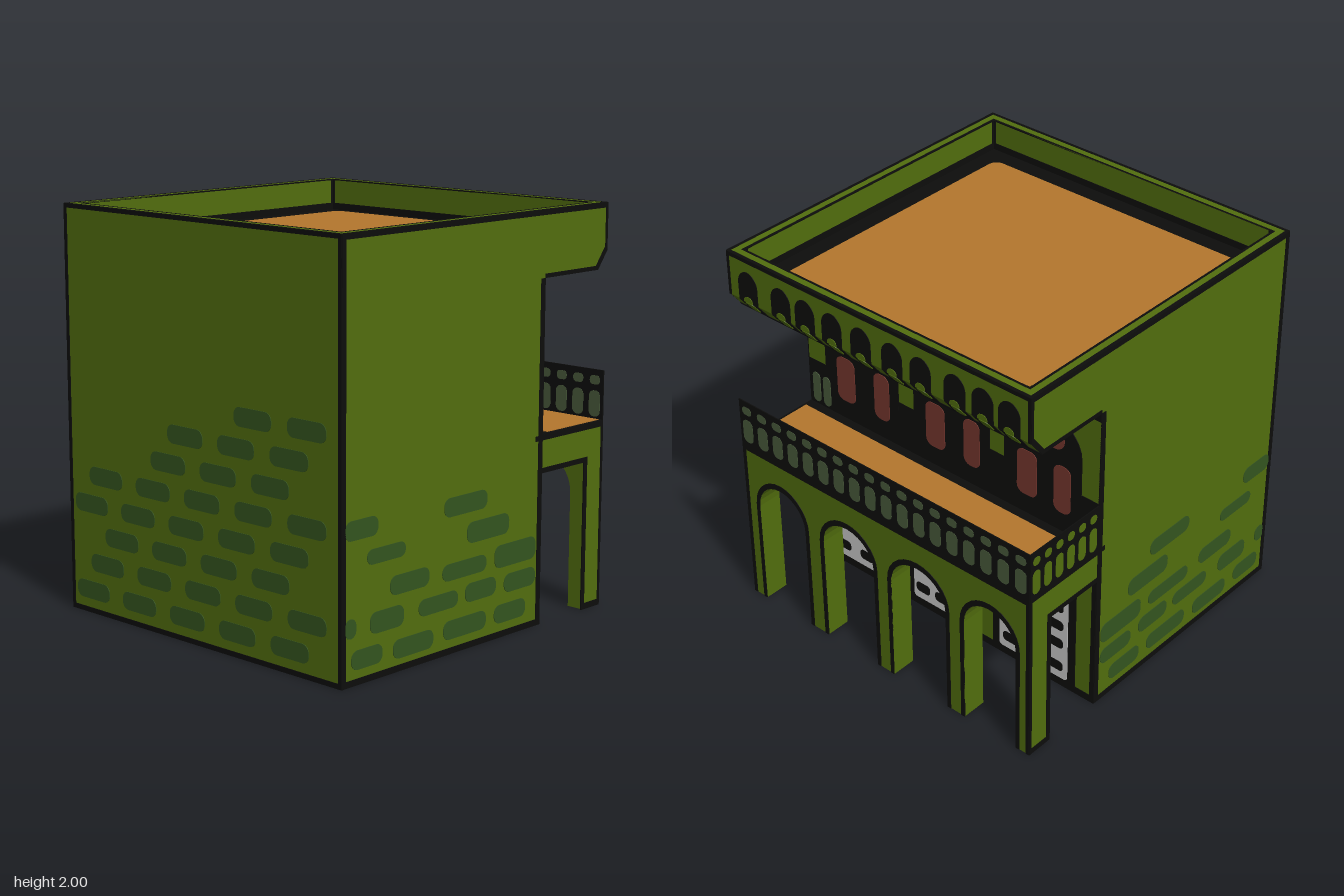
import * as THREE from 'three';

const paint = (name, color) => {
  const m = new THREE.MeshStandardMaterial({ color, side: THREE.DoubleSide });
  m.name = name;
  return m;
};

const V = (x, y) => new THREE.Vector2(x, y);
const rect = (x0, y0, x1, y1) => new THREE.Shape([V(x0, y0), V(x1, y0), V(x1, y1), V(x0, y1)]);

// rounded rectangle spanning x0..x1, y0..y1
function blob(x0, y0, x1, y1, r = 1) {
  r = Math.min(r, (x1 - x0) / 2, (y1 - y0) / 2) * 0.98;
  const s = new THREE.Shape();
  s.absarc(x1 - r, y0 + r, r, -Math.PI / 2, 0);
  s.absarc(x1 - r, y1 - r, r, 0, Math.PI / 2);
  s.absarc(x0 + r, y1 - r, r, Math.PI / 2, Math.PI);
  s.absarc(x0 + r, y0 + r, r, Math.PI, Math.PI * 1.5);
  return s;
}

// points up, over and down an arch from left to right
function archPts(x0, x1, y0, spring, top) {
  const pts = [V(x0, y0)], n = 14;
  for (let i = 0; i <= n; i++) {
    const a = Math.PI * (1 - i / n);
    pts.push(V((x0 + x1) / 2 + Math.cos(a) * (x1 - x0) / 2, spring + Math.sin(a) * (top - spring)));
  }
  pts.push(V(x1, y0));
  return pts;
}
const arch = (...a) => new THREE.Shape(archPts(...a));

function frame(outer, inner) {
  const s = rect(-outer, -outer, outer, outer);
  s.holes.push(rect(-inner, -inner, inner, inner));
  return s;
}

export function createModel() {
  const root = new THREE.Group();
  root.name = 'arcadeHouse';
  const olive = paint('oliveWall', 0x526e0e), brick = paint('darkGreenBrick', 0x34551f);
  const black = paint('blackLine', 0x0d0d0c), tan = paint('tanFloor', 0xb4772d);
  const red = paint('redPane', 0x78372f), white = paint('whiteDoor', 0xcccccc);
  const sage = paint('sageBaluster', 0x4a5c3c);

  const side = (name, x, y, z, ry = 0, rx = 0) => {
    const g = new THREE.Group();
    g.name = name;
    g.position.set(x, y, z);
    g.rotation.set(rx, ry, 0, 'YXZ');
    root.add(g);
    return g;
  };
  const flat = (g, name, mat, shapes) => {
    const m = new THREE.Mesh(new THREE.ShapeGeometry(shapes), mat);
    m.name = name;
    g.add(m);
    return m;
  };
  // thin painted plate centred on the wall plane, raised by its layer
  const plate = (g, name, mat, shapes, layer = 0) => {
    const m = new THREE.Mesh(
      new THREE.ExtrudeGeometry(shapes, { depth: 0.006, bevelEnabled: false, curveSegments: 5 }), mat);
    m.name = name;
    m.position.z = -0.003 + layer * 0.003;
    g.add(m);
    return m;
  };
  const H = Math.PI / 2, E = 0.92;

  // front and back walls with overhanging cornice
  const profile = new THREE.Shape([V(-E, 0), V(0.45, 0), V(0.45, 1.68), V(0.85, 1.68), V(E, 1.77), V(E, 2), V(-E, 2)]);
  const bricks = [
    [-0.9, 0.66, -0.69, 0.75], [-0.25, 0.65, 0.05, 0.74], [-0.76, 0.53, -0.51, 0.6], [-0.09, 0.5, 0.21, 0.6],
    [-0.61, 0.36, -0.35, 0.45], [-0.26, 0.35, 0.05, 0.43], [0.11, 0.34, 0.41, 0.45], [-0.9, 0.22, -0.83, 0.31],
    [-0.74, 0.21, -0.52, 0.31], [-0.42, 0.22, -0.15, 0.3], [-0.1, 0.22, 0.12, 0.31], [0.18, 0.21, 0.41, 0.3],
    [-0.86, 0.07, -0.66, 0.16], [-0.59, 0.06, -0.32, 0.15], [-0.25, 0.07, 0.05, 0.16], [0.11, 0.07, 0.34, 0.16]];
  for (const [name, z] of [['frontWall', E], ['backWall', -E]]) {
    const g = side(name, 0, 0, z);
    flat(g, name + 'Panel', olive, profile);
    plate(g, 'bricks', brick, bricks.map(b => blob(...b, 0.04)));
    plate(g, 'edgeLines', black, [
      rect(-E, 0.03, -0.895, 1.975), rect(-E, 1.975, E, 2), rect(-E, 0, 0.45, 0.03), rect(0.42, 0.03, 0.45, 1.68),
      rect(0.45, 1.68, 0.85, 1.7), rect(0.905, 1.77, E, 1.975),
      new THREE.Shape([V(0.85, 1.68), V(E, 1.77), V(0.905, 1.79), V(0.835, 1.7)])]);
  }

  // left wall with brick courses climbing towards the front
  const left = side('leftWall', -E, 0, 0, -H);
  flat(left, 'leftWallPanel', olive, rect(-E, 0, E, 2));
  const courses = [];
  for (let k = 0; k < 9; k++) {
    for (let i = 0; i < 6; i++) {
      const x = -0.88 + i * 0.34 + (k % 3) * 0.11, y = 0.07 + k * 0.145;
      if (x + 0.24 < 0.9 && y < Math.min(1.22, 0.6 + 0.5 * (x + E))) courses.push(blob(x, y, x + 0.24, y + 0.09, 0.04));
    }
  }
  plate(left, 'bricks', brick, courses);
  plate(left, 'edgeLines', black, [rect(-E, 0, -0.9, 2), rect(0.9, 0, E, 2), rect(-0.9, 1.98, 0.9, 2), rect(-0.9, 0, 0.9, 0.025)]);

  // recessed right wall: doors below, windows above
  const right = side('rightWall', 0.45, 0, 0, H);
  flat(right, 'rightWallPanel', olive, rect(-E, 0, E, 1.68));
  plate(right, 'darkBands', black, [rect(-E, 0, E, 0.04), rect(-E, 0.9, E, 1.19), rect(-E, 1.635, E, 1.68),
    rect(-E, 0.04, -0.895, 0.9), rect(0.895, 0.04, E, 0.9)]);
  for (const [a, b] of [[-0.81, -0.49], [-0.24, 0.14], [0.33, 0.76]]) {
    plate(right, 'doorFrame', black, rect(a - 0.045, 0.03, b + 0.045, 0.605), 0.3);
    plate(right, 'door', white, blob(a, 0.05, b, 0.57, 0.02), 1.3);
    const holes = [], n = Math.round((b - a) / 0.14);
    for (let c = 0; c < n; c++) for (const y of [0.12, 0.26, 0.37, 0.48]) {
      const x = a + (c + 0.5) * (b - a) / n;
      holes.push(blob(x - 0.045, y - 0.025, x + 0.045, y + 0.03, 0.02));
    }
    plate(right, 'doorOpenings', black, holes, 2.3);
  }
  for (const [a, b] of [[-0.8, -0.31], [-0.21, 0.27], [0.36, 0.82]]) {
    plate(right, 'windowFrame', black, arch(a, b, 1.1, 1.38, 1.57), 0.3);
    plate(right, 'windowPanes', red, [blob(a + 0.08, 1.38, b - 0.1, 1.49, 0.06),
      blob(a + 0.08, 1.04, a + 0.2, 1.29, 0.04), blob(b - 0.16, 1.04, b - 0.06, 1.3, 0.04)], 1.3);
  }
  plate(right, 'paintedBalusters', sage, [-0.87, -0.8].map(x => blob(x - 0.025, 0.95, x + 0.025, 1.12)), 1.3);

  // cornice: underside, chamfer and right face with small arches
  const niches = [-0.79, -0.575, -0.42, -0.25, -0.07, 0.12, 0.29, 0.49, 0.65, 0.8];
  const under = side('corniceUnderside', 0.65, 1.68, 0, 0, -H);
  flat(under, 'undersidePanel', olive, rect(-0.2, -E, 0.2, E));
  const chamfer = side('corniceChamfer', 0.85, 1.68, 0, H, Math.atan2(0.07, 0.09));
  flat(chamfer, 'chamferPanel', olive, rect(-E, 0, E, 0.114));
  plate(chamfer, 'nicheBases', black, [rect(-E, 0, E, 0.02), ...niches.map(x => rect(x - 0.06, 0.02, x + 0.06, 0.114))]);
  plate(chamfer, 'nicheHollows', olive, niches.map(x => blob(x - 0.03, 0.03, x + 0.03, 0.113, 0.02)), 1);
  const cornice = side('corniceFace', E, 0, 0, H);
  flat(cornice, 'cornicePanel', olive, rect(-E, 1.77, E, 2));
  plate(cornice, 'nicheArches', black, [rect(-E, 1.98, E, 2), rect(-E, 1.77, -0.905, 1.98), rect(0.905, 1.77, E, 1.98),
    ...niches.map(x => arch(x - 0.062, x + 0.062, 1.77, 1.86, 1.93))]);
  plate(cornice, 'nicheHollows', olive, niches.map(x => arch(x - 0.028, x + 0.028, 1.77, 1.78, 1.8)), 1);

  // roof rim, sunken floor and inner parapet walls
  const rim = side('roofRim', 0, 2, 0, 0, -H);
  flat(rim, 'rimTop', olive, frame(E, 0.86));
  plate(rim, 'rimLines', black, [frame(E, 0.905), frame(0.872, 0.86)]).position.z = -0.005;
  const roof = side('roofFloor', 0, 1.84, 0, 0, -H);
  flat(roof, 'roofBorder', black, rect(-0.86, -0.86, 0.86, 0.86));
  plate(roof, 'roofDeck', tan, blob(-0.76, -0.76, 0.785, 0.75, 0.05), 1);
  for (let i = 0; i < 4; i++) {
    const a = i * H, g = side('parapetInside', -0.86 * Math.sin(a), 0, -0.86 * Math.cos(a), a);
    flat(g, 'parapetPanel', olive, rect(-0.86, 1.84, 0.86, 2));
    plate(g, 'parapetLines', black, [rect(-0.86, 1.84, 0.86, 1.875), rect(-0.86, 1.875, -0.845, 2), rect(0.845, 1.875, 0.86, 2)]);
  }

  // arcade wall cut by four arches
  const bays = [[-0.83, -0.51], [-0.39, -0.05], [0.06, 0.41], [0.52, 0.84]];
  const outline = [V(-E, 0), ...bays.flatMap(([a, b]) => archPts(a, b, 0, 0.58, 0.745)), V(E, 0), V(E, 0.93), V(-E, 0.93)];
  const arcade = side('arcade', 0.79, 0, 0, H);
  const wall = new THREE.Mesh(new THREE.ExtrudeGeometry(new THREE.Shape(outline), { depth: 0.13, bevelEnabled: false }), olive);
  wall.name = 'arcadeWall';
  arcade.add(wall);
  const arcadeFace = side('arcadeFace', E, 0, 0, H);
  plate(arcadeFace, 'archOutlines', black, bays.map(([a, b]) => new THREE.Shape(
    [...archPts(a - 0.022, b + 0.022, 0, 0.585, 0.775), ...archPts(a, b, 0, 0.58, 0.745).reverse()])));
  plate(arcadeFace, 'arcadeLines', black, [rect(-E, 0.89, E, 0.93), rect(-E, 0, -0.9, 0.89), rect(0.9, 0, E, 0.89)]);

  // balcony slab and floor
  const slab = new THREE.Mesh(new THREE.BoxGeometry(0.34, 0.18, 2 * E), olive);
  slab.name = 'balconySlab';
  slab.position.set(0.62, 0.84, 0);
  root.add(slab);
  const deck = side('balconyFloor', 0.685, 0.932, 0, 0, -H);
  plate(deck, 'floorBorder', black, rect(-0.235, -E, 0.235, E));
  plate(deck, 'floorDeck', tan, rect(-0.18, -0.905, 0.22, 0.88), 1);
  for (const z of [E, -E]) {
    const g = side('balconyEnd', 0, 0, z);
    plate(g, 'endLines', black, [rect(0.4, 0.905, E, 0.93), rect(0.45, 0.745, 0.79, 0.77), rect(0.775, 0, 0.8, 0.77),
      rect(0.905, 0, E, 0.905), rect(0.8, 0, 0.905, 0.03)]);
  }

  // railings along the long side and the back end
  const rail = (g, mat, x0, x1, n) => {
    plate(g, 'railPanel', black, rect(x0, 0.93, x1, 1.18));
    const d = (x1 - x0) / n, slots = [];
    for (let i = 0; i < n; i++) {
      const x = x0 + (i + 0.5) * d;
      slots.push(blob(x - d * 0.33, 0.945, x + d * 0.33, 1.075, 0.03), blob(x - d * 0.3, 1.105, x + d * 0.3, 1.15, 0.02));
    }
    for (const layer of [-0.5, 0.5]) plate(g, 'railSlots', mat, slots, layer);
  };
  rail(side('sideRailing', E, 0, 0, H), sage, -E, E, 18);
  rail(side('backRailing', 0, 0, -E), olive, 0.45, E, 6);

  return root;
}
